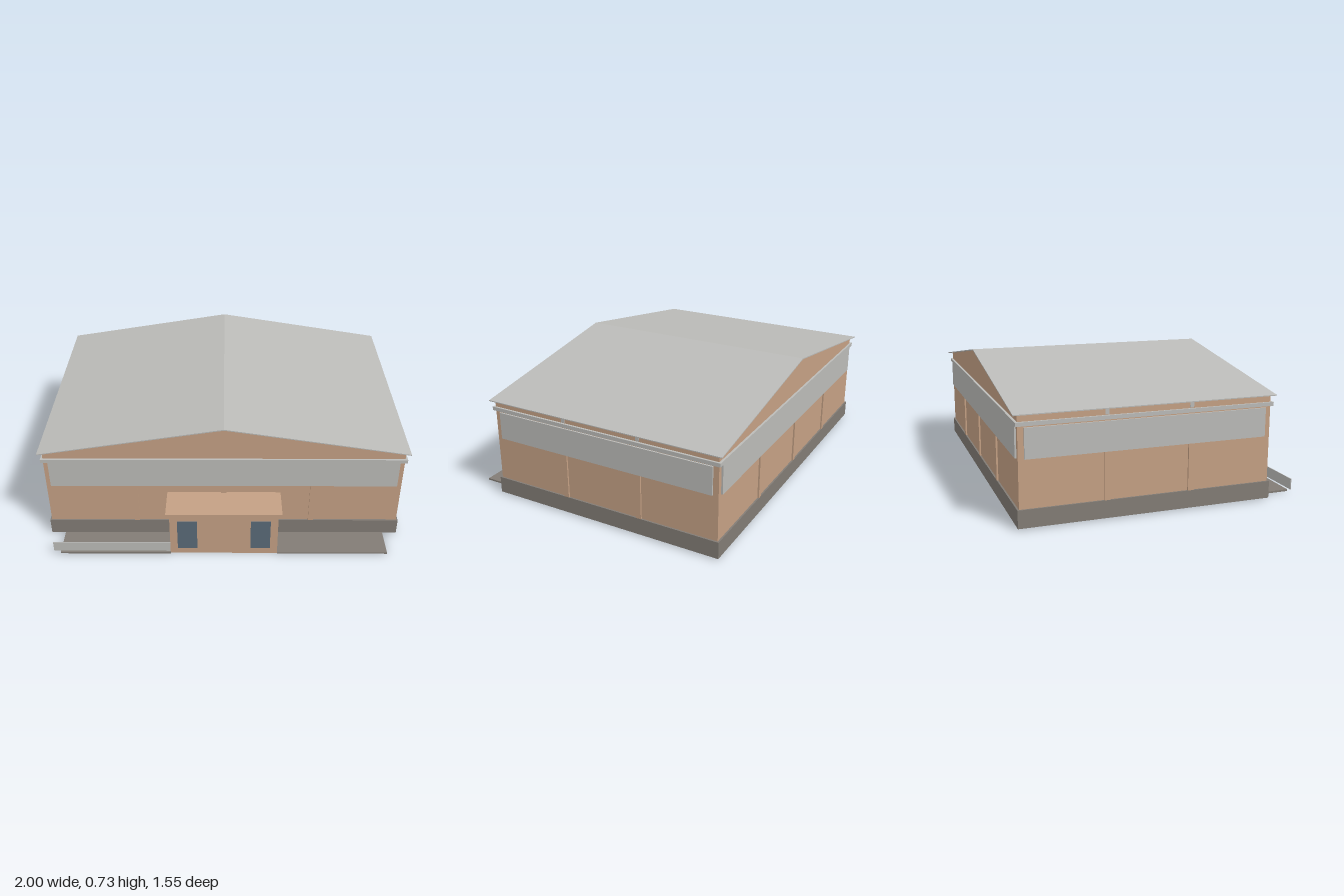
import * as THREE from 'three';

export function createModel() {
  const model = new THREE.Group();
  model.name = 'hall';

  const material = (name, color, side = THREE.FrontSide) => {
    const m = new THREE.MeshStandardMaterial({ color, side });
    m.name = name;
    return m;
  };
  const tan = material('tan wall', 0xc4a084);
  const grey = material('light grey', 0xbbbbb8);
  const stone = material('plinth grey', 0x827c75);
  const blue = material('blue glass', 0x5a6a78);

  const add = (name, geometry, mat) => {
    const mesh = new THREE.Mesh(geometry, mat);
    mesh.name = name;
    model.add(mesh);
    return mesh;
  };
  // Box given by its limits on each axis
  const box = (name, mat, x0, x1, y0, y1, z0, z1) => {
    const g = new THREE.BoxGeometry(x1 - x0, y1 - y0, z1 - z0);
    g.translate((x0 + x1) / 2, (y0 + y1) / 2, (z0 + z1) / 2);
    return add(name, g, mat);
  };
  // Outline in x and y, drawn out along z
  const slab = (name, mat, points, z0, z1) => {
    const shape = new THREE.Shape(points.map(([x, y]) => new THREE.Vector2(x, y)));
    const g = new THREE.ExtrudeGeometry(shape, { depth: z1 - z0, bevelEnabled: false });
    g.translate(0, 0, z0);
    return add(name, g, mat);
  };

  const W = 0.975, FRONT = 0.58, BACK = -0.75; // outer wall faces
  const EAVE = 0.562, RIDGE = 0.72, T = 0.01;
  const OUT = 0.009; // how far facade parts stand out

  // Four boxes running around the building, open at the bottom and top
  const ring = (name, mat, y0, y1, out) => {
    box(name + 'Front', mat, -W - out, W + out, y0, y1, FRONT, FRONT + out);
    box(name + 'Back', mat, -W - out, W + out, y0, y1, BACK - out, BACK);
    for (const s of [-1, 1]) {
      const a = s * W, b = s * (W + out);
      box(name + 'Side', mat, Math.min(a, b), Math.max(a, b), y0, y1, BACK, FRONT);
    }
  };

  // Hollow wall shell: two gables and two sides
  const gable = [[-W, T], [W, T], [W, EAVE + 0.002], [0, RIDGE], [-W, EAVE + 0.002]];
  slab('frontWall', tan, gable, FRONT - T, FRONT);
  slab('backWall', tan, gable, BACK, BACK + T);
  for (const s of [-1, 1]) {
    const a = s * W, b = s * (W - T);
    box('sideWall', tan, Math.min(a, b), Math.max(a, b), T, EAVE, BACK + T, FRONT - T);
  }

  // Thin pitched roof
  const roof = [[-1, 0.56], [0, RIDGE], [1, 0.56], [1, 0.565], [0, 0.726], [-1, 0.565]];
  slab('roof', grey, roof, -0.775, 0.6);

  // Stone base and cornice band
  ring('base', stone, 0.008, 0.1, OUT);
  ring('cornice', grey, 0.505, 0.525, 0.012);

  // Long high windows and pilasters on the front and back
  for (const [z0, z1] of [[FRONT, FRONT + OUT], [BACK - OUT, BACK]]) {
    box('highWindow', grey, -0.95, 0.95, 0.345, 0.503, z0, z1);
    for (const x of [-0.49, 0, 0.49])
      box('pilaster', tan, x - 0.015, x + 0.015, 0.1, 0.345, z0, z1);
  }

  // The same on both sides
  for (const s of [-1, 1]) {
    const x0 = s > 0 ? W : -W - OUT, x1 = x0 + OUT;
    box('sideHighWindow', grey, x0, x1, 0.345, 0.497, -0.72, 0.55);
    for (const z of [0.135, -0.31])
      box('sidePilaster', tan, x0, x1, 0.1, 0.345, z - 0.015, z + 0.015);
  }

  // Roof beams crossing the hall, ends just showing at the sides
  for (const z of [0.135, -0.31])
    box('roofBeam', grey, -0.979, 0.979, 0.528, 0.558, z - 0.01, z + 0.01);

  // Entrance porch with canopy and windows
  box('porch', tan, -0.295, 0.295, 0.001, 0.282, FRONT - 0.005, 0.75);
  box('canopy', tan, -0.313, 0.313, 0.282, 0.295, FRONT - 0.015, 0.773);
  for (const s of [-1, 1])
    box('porchWindow', blue, s * 0.2 - 0.054, s * 0.2 + 0.054, 0.04, 0.23, 0.749, 0.753);

  // Inner door behind the porch
  box('innerDoor', grey, -0.135, 0.135, 0.02, 0.155, FRONT - 0.014, FRONT - 0.009);
  box('innerDoorGlass', blue, -0.135, 0.135, 0.155, 0.19, FRONT - 0.014, FRONT - 0.009);

  // Paving on each side of the porch, and the low screen on the right
  for (const s of [-1, 1])
    box('paving', stone, s * 0.6 - 0.305, s * 0.6 + 0.305, 0, 0.01, FRONT, 0.755);
  box('lowScreen', grey, -0.94, -0.295, 0.02, 0.08, 0.751, 0.755);

  return model;
}
